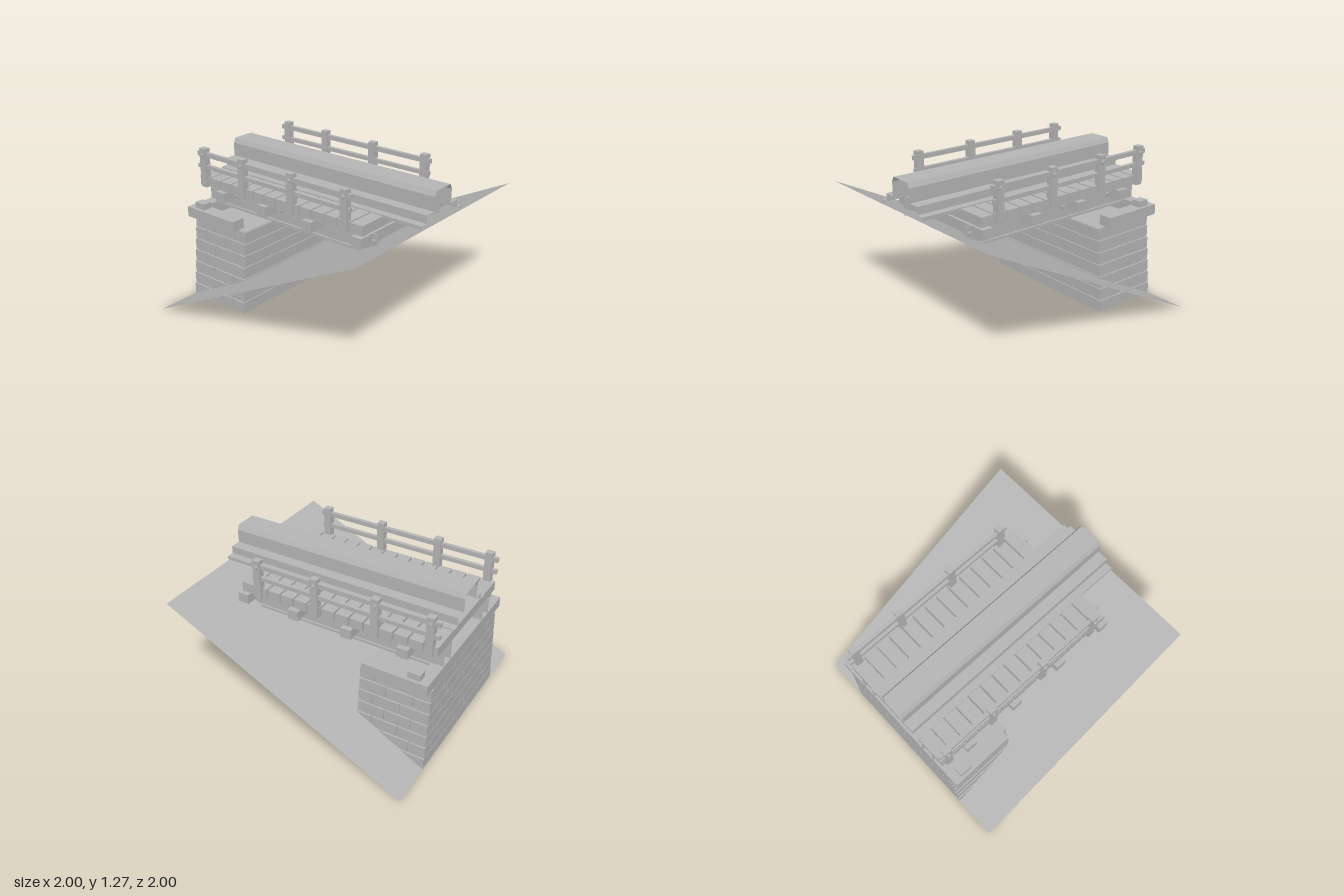
import * as THREE from 'three';

export function createModel() {
  const model = new THREE.Group();
  const grey = new THREE.MeshStandardMaterial({ color: 0xb4b4b4, side: THREE.DoubleSide });
  grey.name = 'plain grey';

  const group = (name) => {
    const g = new THREE.Group();
    g.name = name;
    model.add(g);
    return g;
  };
  const add = (parent, name, geometry) => {
    const m = new THREE.Mesh(geometry, grey);
    m.name = name;
    parent.add(m);
    return m;
  };
  // Box given by its limits along each axis
  const box = (parent, name, x0, x1, y0, y1, z0, z1) => {
    const m = add(parent, name, new THREE.BoxGeometry(x1 - x0, y1 - y0, Math.abs(z1 - z0)));
    m.position.set((x0 + x1) / 2, (y0 + y1) / 2, (z0 + z1) / 2);
    return m;
  };
  // Open sheet: a [z, y] profile swept along x
  const sheet = (parent, name, pts, x0, x1) => {
    const pos = [];
    for (let i = 0; i < pts.length - 1; i++) {
      const [za, ya] = pts[i], [zb, yb] = pts[i + 1];
      pos.push(x0, ya, za, x0, yb, zb, x1, yb, zb, x0, ya, za, x1, yb, zb, x1, ya, za);
    }
    const g = new THREE.BufferGeometry();
    g.setAttribute('position', new THREE.Float32BufferAttribute(pos, 3));
    g.computeVertexNormals();
    return add(parent, name, g);
  };
  const bolt = (parent, x, y, z, r, len) => {
    const m = add(parent, 'bolt', new THREE.CylinderGeometry(r, r, len, 8));
    m.rotation.x = Math.PI / 2;
    m.position.set(x, y, z);
  };

  // Sloping ground sheet, rising towards +x
  sheet(group('ground'), 'slope', [[1, 0], [-1, 0]], -1, 1)
    .geometry.applyMatrix4(new THREE.Matrix4().set(1, 0, 0, 0, 0.5, 1, 0, 0.5, 0, 0, 1, 0, 0, 0, 0, 1));

  // Masonry pier: tapering courses with staggered stones
  const pier = group('pier');
  for (let i = 0; i < 7; i++) {
    const y0 = i * 0.1 + 0.003, y1 = y0 + 0.094, h = 0.637 - i * 0.01;
    box(pier, 'courseCore', -0.985, -0.432, i * 0.1, i * 0.1 + 0.1, -h + 0.012, h - 0.012);
    box(pier, 'innerFace', -0.46, -0.422, y0, y1, -h, h);
    // Stones on the two sides
    const cuts = i % 2 ? [-1, -0.86, -0.64, -0.46] : [-1, -0.76, -0.54, -0.46];
    for (const s of [1, -1]) {
      for (let k = 0; k < 3; k++) {
        const end = cuts[k + 1] - (k < 2 ? 0.008 : 0);
        box(pier, 'sideStone', cuts[k], end, y0, y1, s * (h - 0.05), s * h);
      }
    }
    // Stones on the outer end
    const w = 0.2, shift = i % 2 ? w / 2 : 0;
    for (let z = -h - shift; z < h; z += w) {
      const a = Math.max(z, -h), b = Math.min(z + w - 0.008, h);
      if (b - a > 0.01) box(pier, 'endStone', -1, -0.96, y0, y1, a, b);
    }
  }
  box(pier, 'backWall', -1, -0.9, 0.7, 0.8, -0.54, 0.54);
  for (const s of [1, -1]) {
    box(pier, 'capStone', -1, -0.475, 0.715, 0.8, s * 0.54, s * 0.655);
    box(pier, 'capBlock', -0.93, -0.83, 0.8, 0.85, s * 0.555, s * 0.63);
  }

  // Girders: open channels with flanges, splice plates and bolts
  const girders = group('girders');
  for (const s of [1, -1]) {
    sheet(girders, 'girder', [[0.395, 0.95], [0.395, 0.8], [0.41, 0.8], [0.41, 0.78],
      [0.27, 0.78], [0.27, 0.8], [0.28, 0.8], [0.28, 0.95]].map(([z, y]) => [z * s, y]), -1, 0.67);
    for (const x of [-0.735, -0.245, 0.655]) {
      box(girders, 'splicePlate', x - 0.075, x + 0.075, 0.81, 0.95, s * 0.395, s * 0.402);
      bolt(girders, x + 0.04, 0.89, s * 0.41, 0.018, 0.02);
    }
    for (let x = -0.95; x < 0.66; x += 0.05) {
      box(girders, 'rivet', x, x + 0.008, 0.87, 0.878, s * 0.395, s * 0.4);
    }
  }
  // Cross beams protruding at both sides
  for (const x of [-0.735, -0.275, 0.185, 0.645]) {
    box(girders, 'crossBeam', x - 0.045, x + 0.045, 0.87, 0.95, -0.54, 0.54);
  }

  // Timber ties
  const deck = group('deck');
  for (let k = 0; k < 14; k++) {
    const x = 0.62 - k * 0.12;
    box(deck, 'tie', Math.max(x - 0.053, -1), x + 0.053, 0.953, 1.03, -0.503, 0.503);
  }

  // Hollow central beam on a stepped base
  const half = [[0.09, 1.25], [0.11, 1.21], [0.11, 1.1], [0.2, 1.1], [0.2, 1.038], [0.262, 1.038], [0.262, 1.012]];
  const mirrored = half.map(([z, y]) => [-z, y]).reverse();
  sheet(group('centreBeam'), 'beamShell', [...mirrored, ...half], -1, 1);

  // Railings
  const railings = group('railings');
  for (const s of [1, -1]) {
    for (const x of [-0.93, -0.5, 0.005, 0.513]) {
      box(railings, 'post', x - 0.03, x + 0.03, 0.95, 1.272, s * 0.472, s * 0.526);
      bolt(railings, x, 1.217, s * 0.533, 0.018, 0.02);
    }
    box(railings, 'topRail', -1, 0.57, 1.203, 1.24, s * 0.482, s * 0.512);
    box(railings, 'middleRail', -1, 0.56, 1.102, 1.135, s * 0.482, s * 0.512);
  }
  return model;
}
